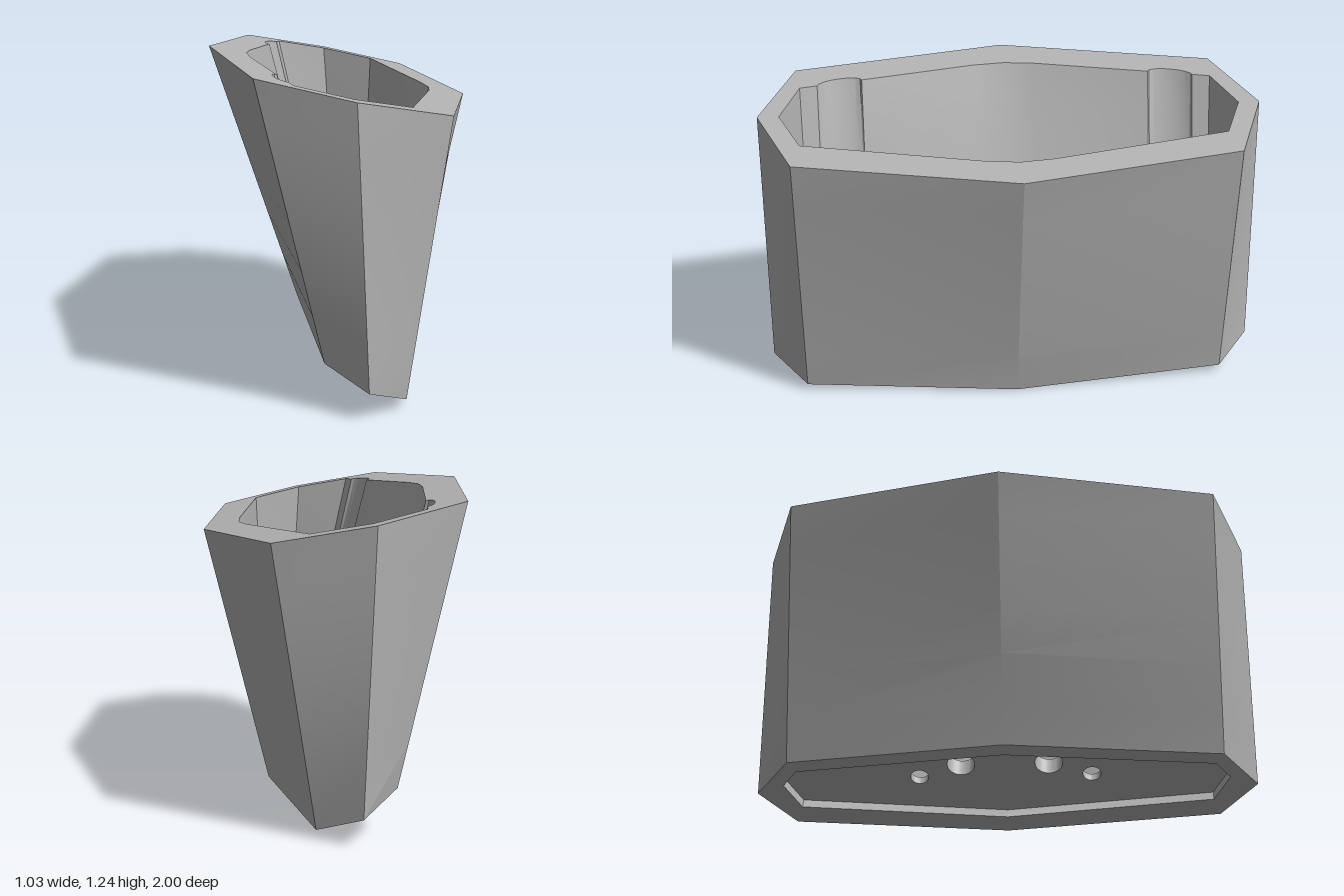
import * as THREE from 'three';
import { toCreasedNormals } from 'three/addons/utils/BufferGeometryUtils.js';

const TILT = 0.445;                         // slope of the base
const SIN = Math.sin(TILT), COS = Math.cos(TILT);
const RECESS = 0.04, FLOOR = 0.12;          // heights above the base plane
const BASE_Y = 0.124;
const topY = x => 1.135 - 0.195 * x;
const baseY = x => BASE_Y - x * SIN / COS;

// Half loop [x, z] running from left to right, mirrored in z to a full loop
const mirror = half => [...half, ...half.slice(1, -1).reverse().map(([x, z]) => [x, -z])];
const onTop = ([x, z]) => new THREE.Vector3(x, topY(x), z);
const onBase = ([x, z]) => new THREE.Vector3(x, baseY(x), z);
// Point in the tilted base frame, h above the base plane
const tilted = h => ([u, z]) =>
  new THREE.Vector3(u * COS + h * SIN, BASE_Y - u * SIN + h * COS, z);

// Ruled wall between two loops of equal length
function loft(lower, upper, inward = false, steps = 6) {
  const pos = [], n = lower.length;
  const at = (i, s) => lower[i % n].clone().lerp(upper[i % n], s / steps);
  const tri = (a, b, c) => (inward ? [a, c, b] : [a, b, c]).forEach(p => pos.push(p.x, p.y, p.z));
  for (let i = 0; i < n; i++) for (let s = 0; s < steps; s++) {
    const a = at(i, s), b = at(i + 1, s), c = at(i + 1, s + 1), d = at(i, s + 1);
    tri(a, b, c);
    tri(a, c, d);
  }
  const g = new THREE.BufferGeometry();
  g.setAttribute('position', new THREE.Float32BufferAttribute(pos, 3));
  return toCreasedNormals(g, 0.2);
}

const toShape = loop => new THREE.Shape(loop.map(([x, z]) => new THREE.Vector2(x, -z)));

// Sloped flat ring between two loops
function ring(outer, inner, yAt, down) {
  const shape = toShape(outer);
  shape.holes.push(toShape(inner));
  const g = new THREE.ShapeGeometry(shape).rotateX(-Math.PI / 2);
  const p = g.attributes.position;
  for (let i = 0; i < p.count; i++) p.setY(i, yAt(p.getX(i)));
  if (down) g.index.array.reverse();
  g.computeVertexNormals();
  return g;
}

// Floor layer with round holes [u, z, radius]
function plate(outline, holes, h, depth) {
  const shape = toShape(outline);
  for (const [u, z, r] of holes) {
    const hole = new THREE.Path();
    hole.absarc(u, -z, r, 0, Math.PI * 2, true);
    shape.holes.push(hole);
  }
  const g = new THREE.ExtrudeGeometry(shape, { depth, bevelEnabled: false, curveSegments: 20 });
  g.rotateX(-Math.PI / 2).translate(0, h, 0).rotateZ(-TILT).translate(0, BASE_Y, 0);
  return toCreasedNormals(g, 0.5);
}

export function createModel() {
  const model = new THREE.Group();
  const grey = new THREE.MeshStandardMaterial({ color: 0xb2b2b2 });
  grey.name = 'plain grey';
  const add = (name, geometry) => {
    const mesh = new THREE.Mesh(geometry, grey);
    mesh.name = name;
    model.add(mesh);
  };

  // Outer faceted body
  const outerTop = mirror([[-0.515, 0], [-0.35, 0.86], [0, 1], [0.35, 0.86], [0.515, 0]]);
  const outerBase = mirror([[-0.17, 0], [-0.105, 0.86], [0.045, 1], [0.193, 0.86], [0.26, 0]]);
  add('outerWall', loft(outerBase.map(onBase), outerTop.map(onTop)));

  // Cavity: each row pairs a rim point with a floor point
  const rows = [[-0.365, 0, -0.134, 0], [-0.352, 0.13, -0.123, 0.13]];
  for (let i = 0; i <= 8; i++) {            // groove fading out towards the floor
    const a = Math.PI * i / 8, z = 0.68 - 0.09 * Math.cos(a);
    rows.push([-0.352 + 0.2 * (z - 0.13) - 0.032 * Math.sin(a), z, -0.134 + 0.083 * z, z]);
  }
  rows.push([-0.21, 0.84, -0.065, 0.83], [0, 0.915, 0.009, 0.89], [0.21, 0.83, 0.13, 0.83],
    [0.358, 0.13, 0.198, 0.13], [0.372, 0, 0.209, 0]);
  const innerTop = mirror(rows.map(r => [r[0], r[1]]));
  const innerFloor = mirror(rows.map(r => [r[2], r[3]]));
  add('innerWall', loft(innerFloor.map(tilted(FLOOR)), innerTop.map(onTop), true));
  add('topRim', ring(outerTop, innerTop, topY, false));

  // Floor in two layers: narrow screw holes below wide counterbores, plus plain holes
  const outline = mirror([[-0.134, 0], [-0.065, 0.83], [0.009, 0.89], [0.13, 0.83], [0.209, 0]]);
  const holes = r => [-1, 1].flatMap(s => [[0.014, s * 0.345, r], [-0.049, s * 0.175, 0.055]]);
  add('lowerFloor', plate(outline, holes(0.036), RECESS, 0.035));
  add('upperFloor', plate(outline, holes(0.1), RECESS + 0.035, FLOOR - RECESS - 0.035));

  // Shallow recess under the base
  add('recessWall', loft(outline.map(tilted(0)), outline.map(tilted(RECESS)), true, 1));
  add('baseRim', ring(outerBase, outline.map(([u, z]) => [u * COS, z]), baseY, true));

  return model;
}
